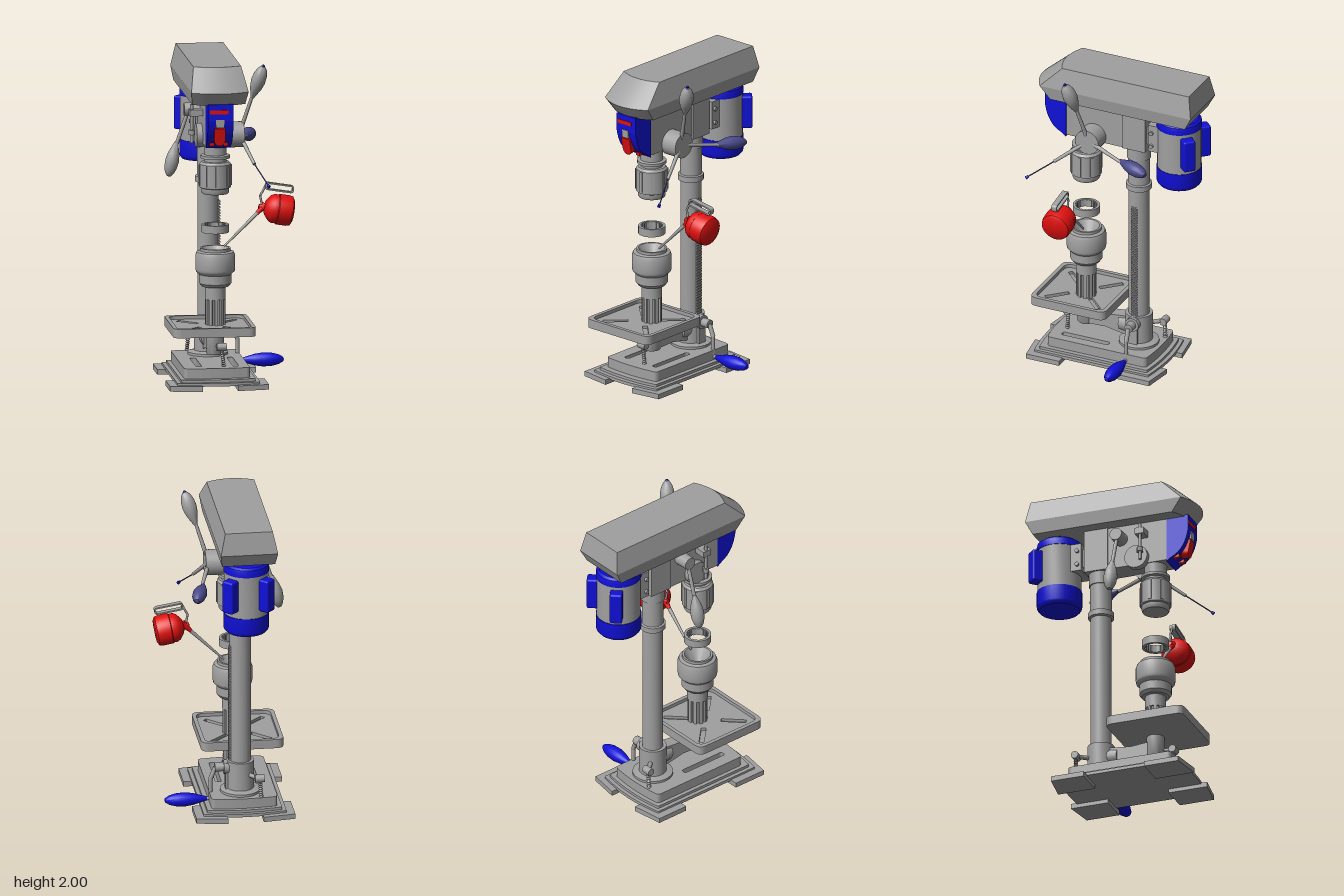
import * as THREE from 'three';
import { toCreasedNormals } from 'three/addons/utils/BufferGeometryUtils.js';
import { RoundedBoxGeometry } from 'three/addons/geometries/RoundedBoxGeometry.js';

const mat = (name, color) => Object.assign(new THREE.MeshStandardMaterial({ color }), { name });
const grey = mat('castGrey', 0xa0a0a0), blue = mat('blue', 0x1010d8);
const red = mat('red', 0xe21010), slate = mat('slateBlue', 0x4a4a8c);
const V = (x, y, z) => new THREE.Vector3(x, y, z);
const CX = -0.095, SZ = 0.25, CZ = -0.11, MZ = -0.385; // centre x; spindle, column and motor z

export function createModel() {
  const root = new THREE.Group();
  root.name = 'drillPress';
  const add = (name, geo, m = grey) => {
    const mesh = new THREE.Mesh(geo, m);
    mesh.name = name;
    root.add(mesh);
    return mesh;
  };
  // box given by its limits on each axis
  const box = (name, x0, x1, y0, y1, z0, z1, m) => {
    const mesh = add(name, new THREE.BoxGeometry(x1 - x0, y1 - y0, z1 - z0), m);
    mesh.position.set((x0 + x1) / 2, (y0 + y1) / 2, (z0 + z1) / 2);
    return mesh;
  };
  // turned part from [radius, height] pairs
  const turned = (name, pts, x, z, m, seg = 32) => {
    const geo = new THREE.LatheGeometry(pts.map(p => new THREE.Vector2(...p)), seg);
    const mesh = add(name, toCreasedNormals(geo, 0.6), m);
    mesh.position.set(x, 0, z);
    return mesh;
  };
  const aim = (mesh, a, b) => {
    mesh.position.copy(a);
    mesh.quaternion.setFromUnitVectors(V(0, 1, 0), b.clone().sub(a).normalize());
    return mesh;
  };
  const rod = (name, a, b, r0, r1 = r0, m = grey, seg = 16) => {
    const len = a.distanceTo(b);
    return aim(add(name, new THREE.CylinderGeometry(r1, r0, len, seg).translate(0, len / 2, 0), m), a, b);
  };
  // spindle-shaped grip from a to b
  const grip = (name, a, b, r, m) => {
    const len = a.distanceTo(b);
    const pts = [[0, 0], [0.25, 0], [0.5, 0.14], [0.82, 0.32], [1, 0.52], [0.93, 0.72], [0.68, 0.88], [0.32, 0.98], [0, 1]]
      .map(([u, v]) => [u * r, v * len]);
    return aim(turned(name, pts, 0, 0, m, 20), a, b);
  };
  // plan outline: rounded corners, ends bulging by e
  const outline = (x0, x1, z0, z1, r, e = 0, P = THREE.Shape) => {
    const s = new P(), c = (x0 + x1) / 2, y0 = -z1, y1 = -z0;
    s.moveTo(x0 + r, y0);
    s.quadraticCurveTo(c, y0 - 2 * e, x1 - r, y0);
    s.quadraticCurveTo(x1, y0, x1, y0 + r);
    s.lineTo(x1, y1 - r);
    s.quadraticCurveTo(x1, y1, x1 - r, y1);
    s.quadraticCurveTo(c, y1 + 2 * e, x0 + r, y1);
    s.quadraticCurveTo(x0, y1, x0, y1 - r);
    s.lineTo(x0, y0 + r);
    s.quadraticCurveTo(x0, y0, x0 + r, y0);
    return s;
  };
  const slab = (name, shape, y0, y1, m) => {
    const geo = new THREE.ExtrudeGeometry(shape, { depth: y1 - y0, bevelEnabled: false, curveSegments: 8 });
    return add(name, geo.rotateX(-Math.PI / 2).translate(0, y0, 0), m);
  };

  // base: four feet under stepped plates, slotted on top
  for (const [x0, x1, sx] of [[-0.41, -0.21, -1], [0.01, 0.205, 1]]) {
    for (const [zi, za, zb] of [[-0.105, -0.32, -0.35], [0.295, 0.52, 0.55]]) {
      const [xo, xi] = sx < 0 ? [x0, x1] : [x1, x0];
      const s = new THREE.Shape([[xo, zi], [xo, za], [xi, zb], [xi, zi]].map(p => new THREE.Vector2(p[0], -p[1])));
      slab('foot', s, 0, 0.032);
    }
  }
  slab('lowerPlate', outline(-0.36, 0.155, -0.29, 0.49, 0.01, 0.025), 0.025, 0.045);
  slab('middlePlate', outline(-0.335, 0.13, -0.27, 0.465, 0.01, 0.02), 0.045, 0.062);
  const deck = outline(-0.31, 0.1, -0.25, 0.43, 0.03, 0.012);
  for (const x of [-0.21, 0.02]) deck.holes.push(outline(x - 0.018, x + 0.018, 0.04, 0.36, 0.015, 0, THREE.Path));
  slab('deck', deck, 0.062, 0.125);

  // column with foot flange, collars and rack
  turned('columnFlange', [[0, 0.12], [0.125, 0.12], [0.125, 0.14], [0.085, 0.15], [0.085, 0.33], [0, 0.33]], CX, CZ);
  turned('column', [[0, 0.12], [0.065, 0.12], [0.065, 1.2], [0.08, 1.205], [0.08, 1.24], [0.068, 1.245],
    [0.068, 1.42], [0.075, 1.42], [0.075, 1.52], [0, 1.52]], CX, CZ);
  box('rack', -0.04, -0.028, 0.33, 1.09, CZ - 0.02, CZ + 0.02);
  for (let i = 0; i < 42; i++) box('rackTooth', -0.03, -0.02, 0.335 + i * 0.018, 0.344 + i * 0.018, CZ - 0.02, CZ + 0.02);

  // table bracket, arm and hub
  turned('tableHub', [[0, 0.185], [0.052, 0.185], [0.055, 0.19], [0.055, 0.335], [0, 0.335]], CX, SZ);
  const arm = new THREE.Shape([[0.25, 0.19], [0.25, 0.3], [0.1, 0.285], [-0.04, 0.3], [-0.04, 0.17], [0.1, 0.195]]
    .map(p => new THREE.Vector2(...p)));
  const side = (name, shape, x0, x1, m) => add(name, new THREE.ExtrudeGeometry(shape,
    { depth: x1 - x0, bevelEnabled: false, curveSegments: 8 }).rotateY(-Math.PI / 2).translate(x1, 0, 0), m);
  side('tableArm', arm, CX - 0.04, CX + 0.04);
  rod('armBoss', V(CX, 0.24, -0.07), V(CX, 0.24, 0.01), 0.065, 0.055);

  // table tray: bottom, slotted floor and raised rim
  const T = (i, P) => outline(-0.387 + i, 0.125 - i, 0.025 + i, 0.537 - i, 0.05, 0, P);
  slab('tableBottom', T(0), 0.335, 0.352);
  const floor = T(0.002), rim = T(0);
  for (const sx of [-1, 1]) for (const sz of [-1, 1]) {
    const a = [-0.131 + sx * 0.07, -0.281 + sz * 0.07], b = [-0.131 + sx * 0.18, -0.281 + sz * 0.18];
    const n = [0.011 * sx, -0.011 * sz];
    floor.holes.push(new THREE.Path([[a[0] + n[0], a[1] + n[1]], [b[0] + n[0], b[1] + n[1]],
      [b[0] - n[0], b[1] - n[1]], [a[0] - n[0], a[1] - n[1]]].map(p => new THREE.Vector2(...p))));
  }
  rim.holes.push(T(0.025, THREE.Path));
  slab('tableFloor', floor, 0.352, 0.37);
  slab('tableRim', rim, 0.352, 0.392);

  // hinged clamp bolts
  for (const [x0, x1, z] of [[-0.055, -0.07, 0.36], [-0.21, -0.2, -0.235]]) {
    const thread = [[0, 0]];
    for (let i = 0; i < 9; i++) thread.push([0.014, i * 0.013], [0.009, i * 0.013 + 0.007]);
    thread.push([0.008, 0.15], [0, 0.15]);
    aim(turned('clampBolt', thread, 0, 0, grey, 12), V(x0, 0.115, z), V(x1, 0.25, z));
    rod('boltEye', V(x1 - 0.03, 0.245, z), V(x1 + 0.03, 0.245, z), 0.024);
    rod('boltLink', V(x1, 0.245, z), V(CX, 0.245, z > 0 ? SZ : CZ), 0.014);
  }

  // table height crank
  rod('crankBoss', V(CX, 0.285, CZ), V(0.01, 0.285, CZ), 0.045);
  rod('crankShaft', V(0, 0.285, CZ), V(0.065, 0.285, CZ), 0.028);
  box('crankBlock', -0.06, 0.0, 0.13, 0.32, CZ - 0.03, CZ + 0.03);
  rod('crankArm', V(0.06, 0.285, CZ), V(0.09, 0.21, CZ), 0.014);
  rod('crankArm', V(0.09, 0.215, CZ), V(0.09, 0.075, CZ), 0.012);
  rod('crankPin', V(0.085, 0.08, CZ), V(0.13, 0.08, CZ), 0.012);
  grip('crankGrip', V(0.11, 0.08, CZ), V(0.378, 0.08, CZ), 0.044, blue);

  // chuck on a fluted stem with an open funnel mouth
  turned('chuck', [[0, 0.6], [0.085, 0.61], [0.1, 0.63], [0.1, 0.685], [0.12, 0.705], [0.123, 0.72], [0.123, 0.805],
    [0.115, 0.825], [0.095, 0.832], [0.095, 0.85], [0.082, 0.85], [0.035, 0.77], [0, 0.77]], CX, SZ);
  turned('stem', [[0, 0.36], [0.05, 0.36], [0.05, 0.53], [0.064, 0.53], [0.064, 0.61], [0, 0.61]], CX, SZ);
  for (let i = 0; i < 10; i++) {
    const a = i * Math.PI / 5, r = 0.053;
    const flute = add('stemFlute', new THREE.BoxGeometry(0.021, 0.17, 0.018));
    flute.position.set(CX + r * Math.sin(a), 0.45, SZ + r * Math.cos(a));
    flute.rotation.y = a;
  }

  // loose ring with inner teeth
  turned('looseRing', [[0.068, 0.95], [0.084, 0.95], [0.084, 0.995], [0.084, 1.0], [0.08, 1.0], [0.08, 0.998],
    [0.084, 0.998], [0.084, 1.0], [0.068, 1.0], [0.068, 0.95]].map(([r, y]) => [r, y - 0.003]), CX, SZ);
  for (let i = 0; i < 16; i++) {
    const a = i * Math.PI / 8, tooth = add('ringTooth', new THREE.BoxGeometry(0.012, 0.045, 0.012));
    tooth.position.set(CX + 0.066 * Math.sin(a), 0.972, SZ + 0.066 * Math.cos(a));
    tooth.rotation.y = a;
  }

  // quill housing
  turned('quill', [[0, 1.19], [0.08, 1.19], [0.086, 1.2], [0.086, 1.225], [0.097, 1.23], [0.097, 1.375], [0.085, 1.39],
    [0.07, 1.392], [0.07, 1.41], [0.09, 1.412], [0.09, 1.43], [0.07, 1.435], [0.07, 1.52], [0, 1.52]], CX, SZ);
  for (let i = 0; i < 8; i++) {
    const a = i * Math.PI / 4, rib = add('quillRib', new THREE.BoxGeometry(0.02, 0.13, 0.01));
    rib.position.set(CX + 0.097 * Math.sin(a), 1.305, SZ + 0.097 * Math.cos(a));
    rib.rotation.y = a;
  }

  // head casting and motor mount
  box('headFront', -0.17, -0.02, 1.5, 1.79, -0.035, 0.35);
  box('headRear', -0.18, -0.01, 1.5, 1.79, -0.19, -0.035);
  box('motorSlide', -0.15, -0.04, 1.55, 1.67, -0.28, -0.18);
  box('motorMount', -0.18, -0.01, 1.52, 1.7, -0.29, -0.21);
  for (const x of [-0.185, -0.005]) for (const y of [1.56, 1.65]) rod('mountBolt', V(x - 0.01, y, -0.235), V(x + 0.01, y, -0.235), 0.013);

  // switch panel
  const panel = new THREE.Shape();
  panel.moveTo(0.35, 1.785);
  panel.lineTo(0.35, 1.49);
  panel.lineTo(0.385, 1.515);
  panel.quadraticCurveTo(0.47, 1.55, 0.492, 1.68);
  panel.lineTo(0.492, 1.785);
  side('switchPanel', panel, -0.17, -0.012, blue);
  box('switchPaddle', -0.13, -0.062, 1.56, 1.64, 0.43, 0.487, red).rotation.x = 0.2;
  rod('paddleEnd', V(-0.096, 1.565, 0.43), V(-0.096, 1.555, 0.478), 0.034, 0.034, red);
  box('switchClip', -0.122, -0.07, 1.64, 1.69, 0.47, 0.497);
  box('indicatorStrip', -0.16, -0.045, 1.725, 1.75, 0.485, 0.496, red);
  for (const x of [-0.138, -0.052]) box('indicatorLamp', x - 0.014, x + 0.014, 1.515, 1.535, 0.38, 0.428, red);

  // motor: grey shell, blue end caps and two side housings
  turned('motorShell', [[0, 1.42], [0.137, 1.42], [0.137, 1.71], [0, 1.71]], CX, MZ);
  turned('motorLowerCap', [[0, 1.3], [0.125, 1.303], [0.138, 1.318], [0.141, 1.33], [0.141, 1.425], [0, 1.425]], CX, MZ, blue);
  turned('motorUpperCap', [[0, 1.7], [0.141, 1.7], [0.141, 1.73], [0.137, 1.747], [0.122, 1.758], [0, 1.76]], CX, MZ, blue);
  rod('motorShaft', V(CX, 1.75, MZ), V(CX, 1.79, MZ), 0.023);
  for (const s of [-1, 1]) {
    const cap = add('motorHousing', new RoundedBoxGeometry(0.078, 0.21, 0.1, 2, 0.012), blue);
    cap.position.set(CX + s * 0.103, 1.573, MZ - 0.103);
    cap.rotation.y = s * -Math.PI / 4;
  }

  // belt cover: rings [y, half width, back z, front corner z, front middle z]
  const N = 12, rings = [[1.775, 0.165, -0.5, 0.42, 0.48], [1.86, 0.178, -0.545, 0.485, 0.545], [2, 0.148, -0.52, 0.345, 0.385]]
    .map(([y, w, zb, zc, zm]) => {
      const ring = [V(CX + w, y, zb), V(CX - w, y, zb)];
      for (let i = 0; i <= N; i++) {
        const t = i / N * 2 - 1;
        ring.push(V(CX + t * w, y, zm - (zm - zc) * t * t));
      }
      return ring;
    });
  const tri = [], n = N + 3;
  for (let k = 0; k < 2; k++) for (let i = 0; i < n; i++) {
    const j = (i + 1) % n, a = rings[k], b = rings[k + 1];
    tri.push(a[i], a[j], b[j], a[i], b[j], b[i]);
  }
  for (let i = 1; i < n - 1; i++) {
    tri.push(rings[2][0], rings[2][i], rings[2][i + 1], rings[0][0], rings[0][i + 1], rings[0][i]);
  }
  add('beltCover', toCreasedNormals(new THREE.BufferGeometry().setFromPoints(tri), 0.3));

  // feed hub with three levers
  rod('feedHub', V(-0.03, 1.54, 0.16), V(0.09, 1.54, 0.16), 0.08, 0.08, grey, 32);
  const hub = V(0.065, 1.54, 0.16);
  rod('upperLever', hub, V(0.145, 1.8, 0.21), 0.014, 0.01);
  grip('upperGrip', V(0.14, 1.775, 0.205), V(0.205, 1.98, 0.255), 0.045);
  rod('upperGripTip', V(0.2, 1.967, 0.251), V(0.206, 1.985, 0.256), 0.012, 0.008, blue);
  rod('rearLever', hub, V(0.145, 1.485, -0.11), 0.014, 0.01);
  grip('rearGrip', V(0.13, 1.49, -0.085), V(0.2, 1.468, -0.295), 0.044, slate);
  rod('frontLever', hub, V(0.135, 1.385, 0.36), 0.014, 0.01);
  rod('frontLeverPin', V(0.135, 1.385, 0.36), V(0.202, 1.275, 0.51), 0.004, 0.004, slate, 8);
  rod('frontLeverTip', V(0.2, 1.278, 0.506), V(0.206, 1.267, 0.52), 0.008, 0.011, blue);

  // right side: return spring drum, depth stop and locking lever
  rod('springDrum', V(-0.16, 1.54, 0.16), V(-0.205, 1.54, 0.16), 0.075, 0.075, grey, 32);
  rod('depthRod', V(-0.235, 1.5, 0.2), V(-0.235, 1.74, 0.2), 0.01);
  box('depthBracket', -0.25, -0.165, 1.67, 1.71, 0.17, 0.23);
  rod('depthNut', V(-0.235, 1.55, 0.2), V(-0.235, 1.58, 0.2), 0.022, 0.022, grey, 6);
  rod('lockBoss', V(-0.16, 1.685, 0.05), V(-0.265, 1.685, 0.05), 0.045, 0.04);
  rod('lockLever', V(-0.24, 1.67, 0.05), V(-0.315, 1.45, 0.045), 0.012);
  grip('lockGrip', V(-0.31, 1.48, 0.045), V(-0.36, 1.265, 0.045), 0.043);

  // oil can with spout and strap handle
  const can = [[0, -0.03], [0.013, -0.03], [0.022, 0.005], [0.045, 0.012], [0.08, 0.04], [0.09, 0.06], [0.09, 0.085],
    [0.095, 0.09], [0.095, 0.155], [0.09, 0.175], [0.07, 0.186], [0, 0.19]];
  aim(turned('oilCan', can, 0, 0, red), V(0.205, 1.095, 0.24), V(0.39, 1.064, 0.24));
  rod('oilSpout', V(0.2, 1.09, 0.24), V(-0.04, 0.855, 0.245), 0.013, 0.006);
  rod('canNozzle', V(0.22, 1.11, 0.24), V(0.165, 1.057, 0.24), 0.024, 0.012, red);
  const strap = outline(-0.09, 0.09, -0.024, 0.024, 0.02);
  strap.holes.push(outline(-0.08, 0.08, -0.015, 0.015, 0.012, 0, THREE.Path));
  const handle = add('canHandle', new THREE.ExtrudeGeometry(strap, { depth: 0.036, bevelEnabled: false, curveSegments: 6 }));
  handle.position.set(0.305, 1.215, 0.222);
  handle.rotation.z = -0.16;
  rod('handleStem', V(0.2, 1.09, 0.24), V(0.185, 1.17, 0.24), 0.007);
  rod('handleStem', V(0.185, 1.165, 0.24), V(0.225, 1.24, 0.24), 0.007);
  return root;
}
